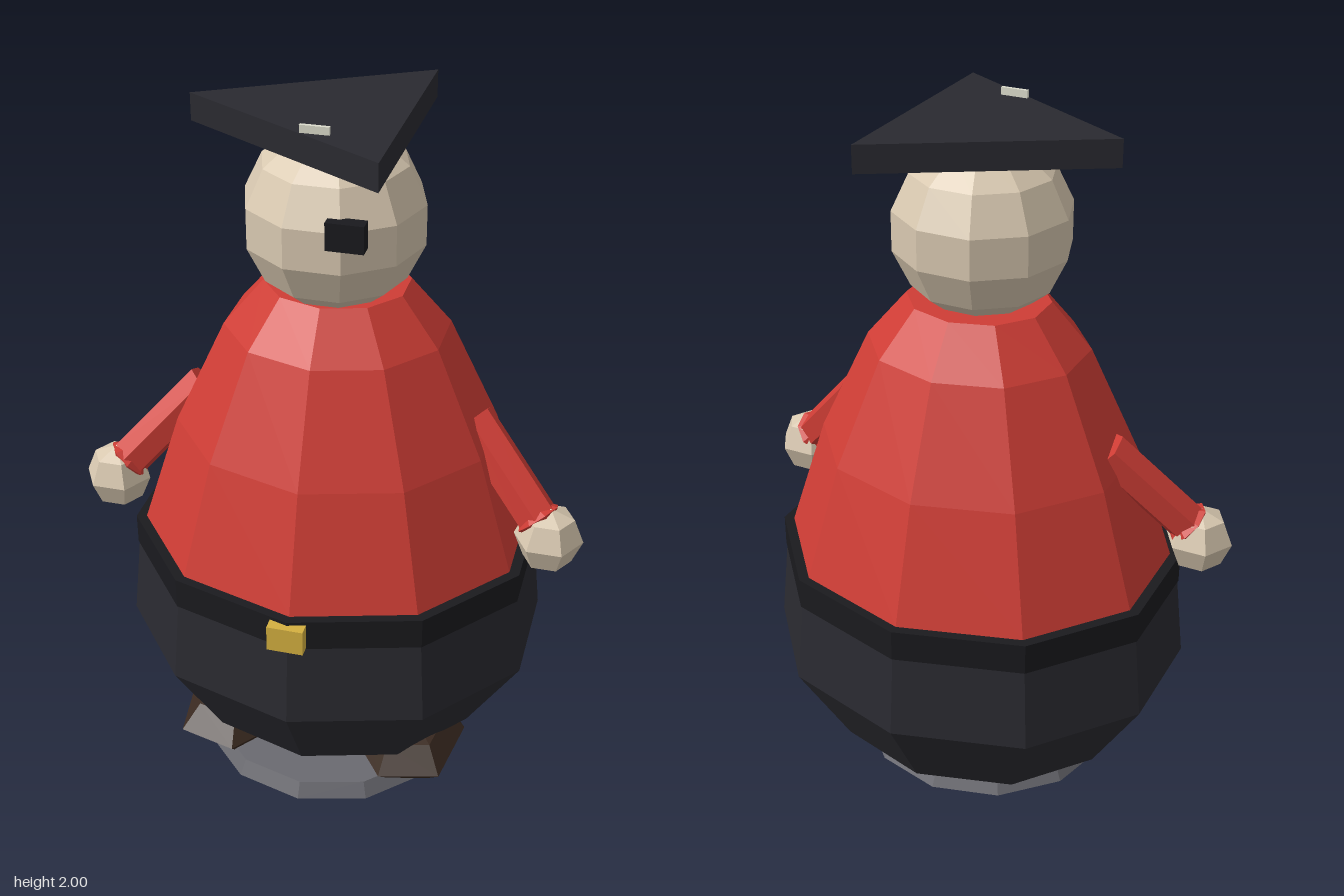
import * as THREE from 'three';

export function createModel() {
  const root = new THREE.Group();
  const mat = (color) => new THREE.MeshStandardMaterial({ color, flatShading: true });
  const red = mat(0xcf3d35), skin = mat(0xd8c8b0), dark = mat(0x2a2a30), black = mat(0x1a1a1e);
  const gold = mat(0xd4b040), brown = mat(0x3a2a20), grey = mat(0x6a6a70), bone = mat(0xdcdccc);

  const add = (name, geometry, material, x = 0, y = 0, z = 0) => {
    const mesh = new THREE.Mesh(geometry, material);
    mesh.name = name;
    mesh.position.set(x, y, z);
    root.add(mesh);
    return mesh;
  };
  // Ten-sided turned shape, wider than deep; points are [radius, height]
  const turned = (points) => new THREE.LatheGeometry(
    points.map(([r, y]) => new THREE.Vector2(r, y)), 10).scale(1.115, 1, 1);

  // Base and body
  add('base', new THREE.CylinderGeometry(0.36, 0.383, 0.045, 12), grey, 0, 0.042, 0.07);
  add('trousers', turned([[0, 0.145], [0.407, 0.145], [0.55, 0.4], [0.525, 0.66], [0, 0.66]]), dark);
  add('belt', turned([[0, 0.64], [0.53, 0.64], [0.53, 0.73], [0, 0.73]]), black);
  add('shirt', turned([[0.515, 0.69], [0.503, 0.73], [0.407, 1.06], [0.28, 1.36], [0.18, 1.49], [0, 1.49]]), red);
  add('buckle', new THREE.BoxGeometry(0.1, 0.075, 0.04), gold, 0, 0.683, 0.53);

  // Head, eye patch and three-cornered hat
  add('head', new THREE.SphereGeometry(0.25, 10, 7), skin, 0, 1.685, 0.025);
  add('eyePatch', new THREE.BoxGeometry(0.1, 0.075, 0.04), black, 0.088, 1.737, 0.25);
  const hat = add('hat', new THREE.CylinderGeometry(0.385, 0.385, 0.075, 3), dark, 0, 1.942, 0.022);
  hat.rotation.y = -Math.PI / 2;
  add('hatBadge', new THREE.BoxGeometry(0.076, 0.04, 0.01), bone, 0, 1.98, 0.215);

  // Arms, cuffs, hands and feet, mirrored
  for (const [side, s] of [['left', 1], ['right', -1]]) {
    const shoulder = new THREE.Vector3(0.385 * s, 1.115, 0);
    const wrist = new THREE.Vector3(0.595 * s, 0.885, 0.1);
    const axis = wrist.clone().sub(shoulder);
    const mid = shoulder.clone().lerp(wrist, 0.5);
    const arm = add(side + 'Arm', new THREE.CylinderGeometry(0.06, 0.06, axis.length(), 6), red, mid.x, mid.y, mid.z);
    const dir = axis.clone().normalize();
    arm.quaternion.setFromUnitVectors(new THREE.Vector3(0, 1, 0), dir);
    const cuff = add(side + 'Cuff', new THREE.TorusGeometry(0.05, 0.018, 4, 8), red, wrist.x, wrist.y, wrist.z);
    cuff.quaternion.setFromUnitVectors(new THREE.Vector3(0, 0, 1), dir);
    add(side + 'Hand', new THREE.SphereGeometry(0.096, 6, 4), skin, 0.628 * s, 0.836, 0.113);

    const foot = add(side + 'Foot', new THREE.SphereGeometry(1, 6, 4), brown, 0.255 * s, 0.097, 0.155);
    foot.scale.set(0.175, 0.092, 0.245);
    foot.rotation.y = 0.25 * s;
  }
  return root;
}
